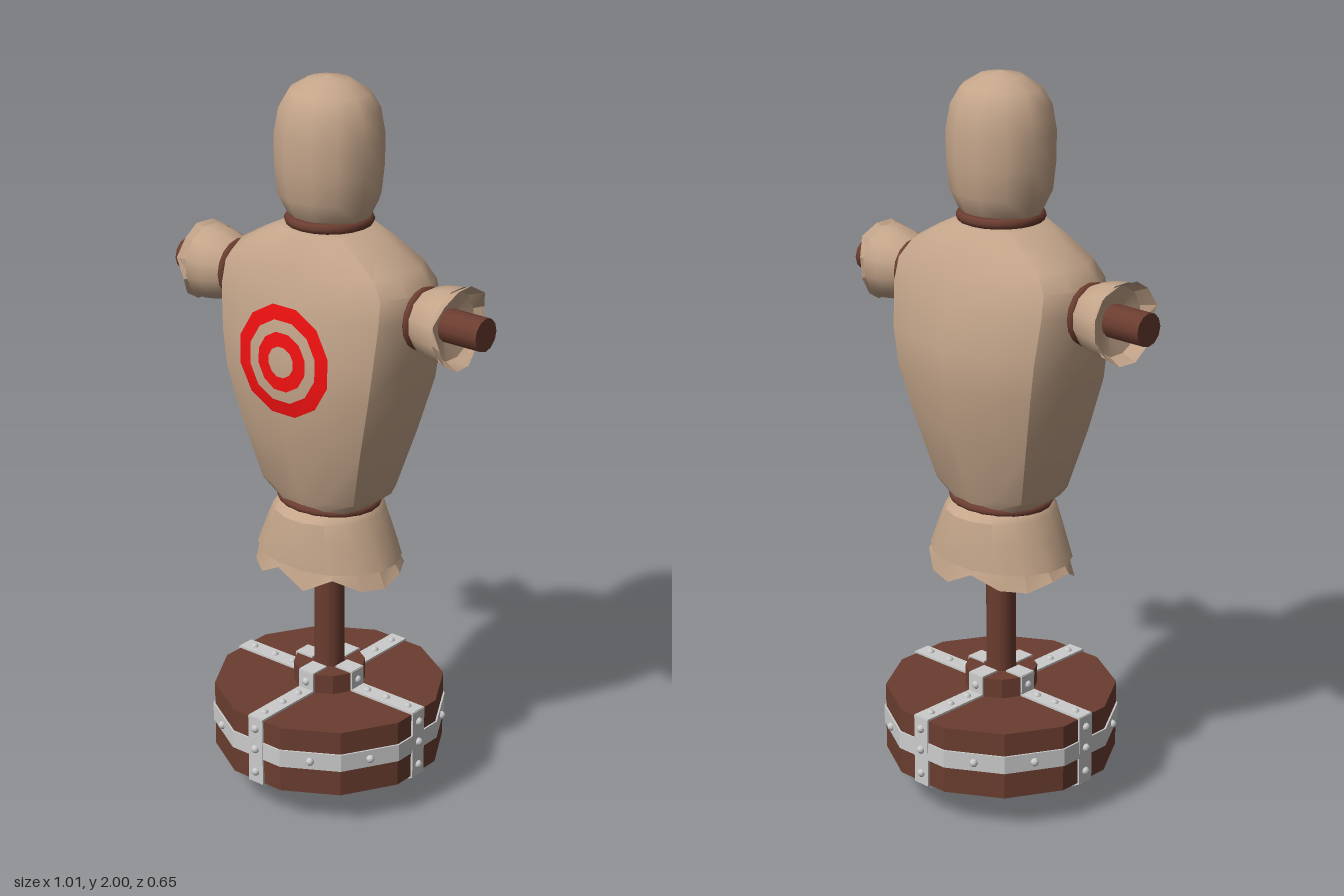
import * as THREE from 'three';
import { toCreasedNormals } from 'three/addons/utils/BufferGeometryUtils.js';

const mat = (color, side = THREE.FrontSide) => new THREE.MeshStandardMaterial({ color, side });
const cloth = mat(0xc4a58a, THREE.DoubleSide);
const wood = mat(0x6b3d30);
const metal = mat(0xcccccc);
const paint = mat(0xf01010, THREE.DoubleSide);

// Closed loops of points, listed from low to high, joined into a skin
function loft(rings, crease = 0.6) {
  const n = rings[0].length, pos = [], index = [];
  rings.forEach(r => r.forEach(p => pos.push(...p)));
  for (let j = 0; j < rings.length - 1; j++) {
    for (let i = 0; i < n; i++) {
      const a = j * n + i, b = j * n + (i + 1) % n;
      index.push(a, b, b + n, a, b + n, a + n);
    }
  }
  const g = new THREE.BufferGeometry();
  g.setAttribute('position', new THREE.Float32BufferAttribute(pos, 3));
  g.setIndex(index);
  return toCreasedNormals(g, crease);
}

// Elliptical loop; the optional rag function lifts or drops each point
function ring(y, rx, rz, n, rag = () => 0) {
  return Array.from({ length: n }, (_, i) => {
    const a = (i + 0.5) / n * Math.PI * 2;
    return [Math.sin(a) * rx, y + rag(i), Math.cos(a) * rz];
  });
}

export function createModel() {
  const model = new THREE.Group();
  const add = (name, geometry, material, parent = model) => {
    const m = new THREE.Mesh(geometry, material);
    m.name = name;
    parent.add(m);
    return m;
  };
  const group = name => {
    const g = new THREE.Group();
    g.name = name;
    model.add(g);
    return g;
  };

  // Twelve-sided weighted base with a rounded underside, flats facing the axes
  const solid = (pts, crease) => {
    const g = new THREE.LatheGeometry(pts.map(p => new THREE.Vector2(...p)), 12, Math.PI / 12);
    return toCreasedNormals(g, crease);
  };
  add('base', solid([[0, 0.012], [0.09, 0.016], [0.235, 0.06], [0.318, 0.1], [0.318, 0.29], [0, 0.29]], 0.4), wood);
  add('hub', solid([[0.099, 0.285], [0.099, 0.345], [0, 0.345]], 0.4), wood);
  add('pole', new THREE.CylinderGeometry(0.042, 0.042, 1.3, 12).translate(0, 0.95, 0), wood);

  // Metal band round the base
  add('baseBand', solid([[0.316, 0.175], [0.323, 0.175], [0.323, 0.225], [0.316, 0.225]], 0.3), metal);

  // Riveted straps running from the hub over the rim to the underside
  const path = [[0.045, 0.345], [0.096, 0.345], [0.096, 0.291], [0.308, 0.291], [0.308, 0.1],
    [0.228, 0.059], [0.088, 0.015], [0, 0.011]];
  const rivets = [[0.099, 0.318], [0.135, 0.294], [0.2, 0.294], [0.275, 0.294], [0.313, 0.262],
    [0.313, 0.13], [0.27, 0.078], [0.16, 0.036], [0.06, 0.012]];
  const rivetGeo = new THREE.SphereGeometry(0.0115, 8, 6);
  for (let k = 0; k < 4; k++) {
    const strap = group('baseStrap');
    strap.rotation.y = k * Math.PI / 2;
    for (let i = 0; i < path.length - 1; i++) {
      const [r0, y0] = path[i], [r1, y1] = path[i + 1];
      const g = new THREE.BoxGeometry(0.05, 0.01, Math.hypot(r1 - r0, y1 - y0) + 0.006);
      g.rotateX(-Math.atan2(y1 - y0, r1 - r0)).translate(0, (y0 + y1) / 2, (r0 + r1) / 2);
      add('strapPlate', g, metal, strap);
    }
    rivets.forEach(([r, y]) => add('rivet', rivetGeo, metal, strap).position.set(0, y, r));
  }
  const bandRivets = group('bandRivets');
  for (let i = 0; i < 12; i++) {
    const a = i * Math.PI / 6;
    add('rivet', rivetGeo, metal, bandRivets).position.set(Math.sin(a) * 0.314, 0.2, Math.cos(a) * 0.314);
  }

  // Stuffed torso: [y, half width, front depth, back depth] over one boxy outline
  const half = [[0.5, 0.94], [0.87, 0.7], [1, 0.3], [1, -0.3], [0.87, -0.68], [0.5, -0.9]];
  const outline = [[0, 1], ...half, [0, -1], ...half.map(([x, z]) => [-x, z]).reverse()];
  const levels = [[0.845, 0.13, 0.115, 0.115], [0.885, 0.18, 0.13, 0.13], [1.05, 0.232, 0.172, 0.178],
    [1.2, 0.275, 0.196, 0.214], [1.3, 0.291, 0.194, 0.217], [1.42, 0.303, 0.18, 0.195],
    [1.485, 0.298, 0.163, 0.175], [1.53, 0.262, 0.148, 0.156], [1.575, 0.185, 0.132, 0.136],
    [1.61, 0.115, 0.112, 0.112], [1.62, 0.04, 0.04, 0.04]];
  const torso = add('torso', loft(levels.map(([y, w, f, b]) =>
    outline.map(([x, z]) => [x * w, y, z * (z > 0 ? f : b)])), 0.62), cloth);

  // Painted target rings laid onto the chest
  const ray = new THREE.Raycaster();
  const toBack = new THREE.Vector3(0, 0, -1);
  torso.updateMatrixWorld();
  for (const [inner, outer] of [[0.042, 0.08], [0.112, 0.152]]) {
    const g = new THREE.RingGeometry(inner, outer, 12, 2, Math.PI / 12).translate(0, 1.283, 0);
    const p = g.attributes.position;
    for (let i = 0; i < p.count; i++) {
      ray.set(new THREE.Vector3(p.getX(i) + 1e-5, p.getY(i), 1), toBack);
      p.setZ(i, ray.intersectObject(torso)[0].point.z + 0.006);
    }
    g.computeVertexNormals();
    add('targetRing', g, paint);
  }

  // Head sack
  const headProfile = [[0.09, 1.615], [0.115, 1.64], [0.141, 1.69], [0.15, 1.77], [0.15, 1.85], [0.138, 1.915],
    [0.11, 1.96], [0.06, 1.99], [0, 2]].map(p => new THREE.Vector2(...p));
  add('head', new THREE.LatheGeometry(headProfile, 12, Math.PI / 12).scale(1, 1, 0.89), cloth);

  // Cords tied at neck and waist
  const cord = (name, y, rx, rz, tube) => add(name,
    new THREE.TorusGeometry(1 - tube, tube, 8, 20).rotateX(Math.PI / 2).scale(rx, 0.115, rz).translate(0, y, 0), wood);
  cord('neckCord', 1.625, 0.118, 0.118, 0.13);
  cord('waistCord', 0.845, 0.15, 0.13, 0.1);

  // Skirt below the waist, with a ragged lower layer
  const rag = [0, 0.04, 0.012, 0.045, 0.005, 0.035, 0.015];
  const skirtRag = i => rag[(i * 3) % 7];
  const n = 16;
  add('skirt', loft([ring(0.69, 0.212, 0.168, n), ring(0.76, 0.18, 0.163, n), ring(0.82, 0.152, 0.152, n),
    ring(0.835, 0.142, 0.135, n), ring(0.845, 0.125, 0.11, n)], 0.5), cloth);
  add('skirtFringe', loft([ring(0.63, 0.222, 0.166, n, skirtRag), ring(0.7, 0.198, 0.157, n),
    ring(0.73, 0.04, 0.04, n)], 0.4), cloth);

  // Crossbar and torn sleeves, built along y and laid out to each side
  const bar = new THREE.CylinderGeometry(0.044, 0.044, 1.01, 12).rotateZ(Math.PI / 2);
  add('crossbar', bar.translate(0, 1.42, 0), wood);
  const sleeveRag = i => -rag[(i * 2) % 7] * 0.6;
  for (const side of [1, -1]) {
    const arm = group(side > 0 ? 'leftSleeve' : 'rightSleeve');
    arm.position.y = 1.42;
    arm.rotation.z = -side * Math.PI / 2;
    add('sleeve', loft([ring(0.285, 0.06, 0.06, 12), ring(0.31, 0.072, 0.072, 12), ring(0.335, 0.088, 0.088, 12),
      ring(0.37, 0.098, 0.098, 12), ring(0.415, 0.104, 0.104, 12)], 0.6), cloth, arm);
    add('sleeveFringe', loft([ring(0.385, 0.035, 0.035, 12), ring(0.4, 0.092, 0.092, 12),
      ring(0.442, 0.11, 0.11, 12, sleeveRag)], 0.4), cloth, arm);
    add('sleeveCord', new THREE.TorusGeometry(0.073, 0.011, 8, 16).rotateX(Math.PI / 2).translate(0, 0.311, 0), wood, arm);
  }
  return model;
}
